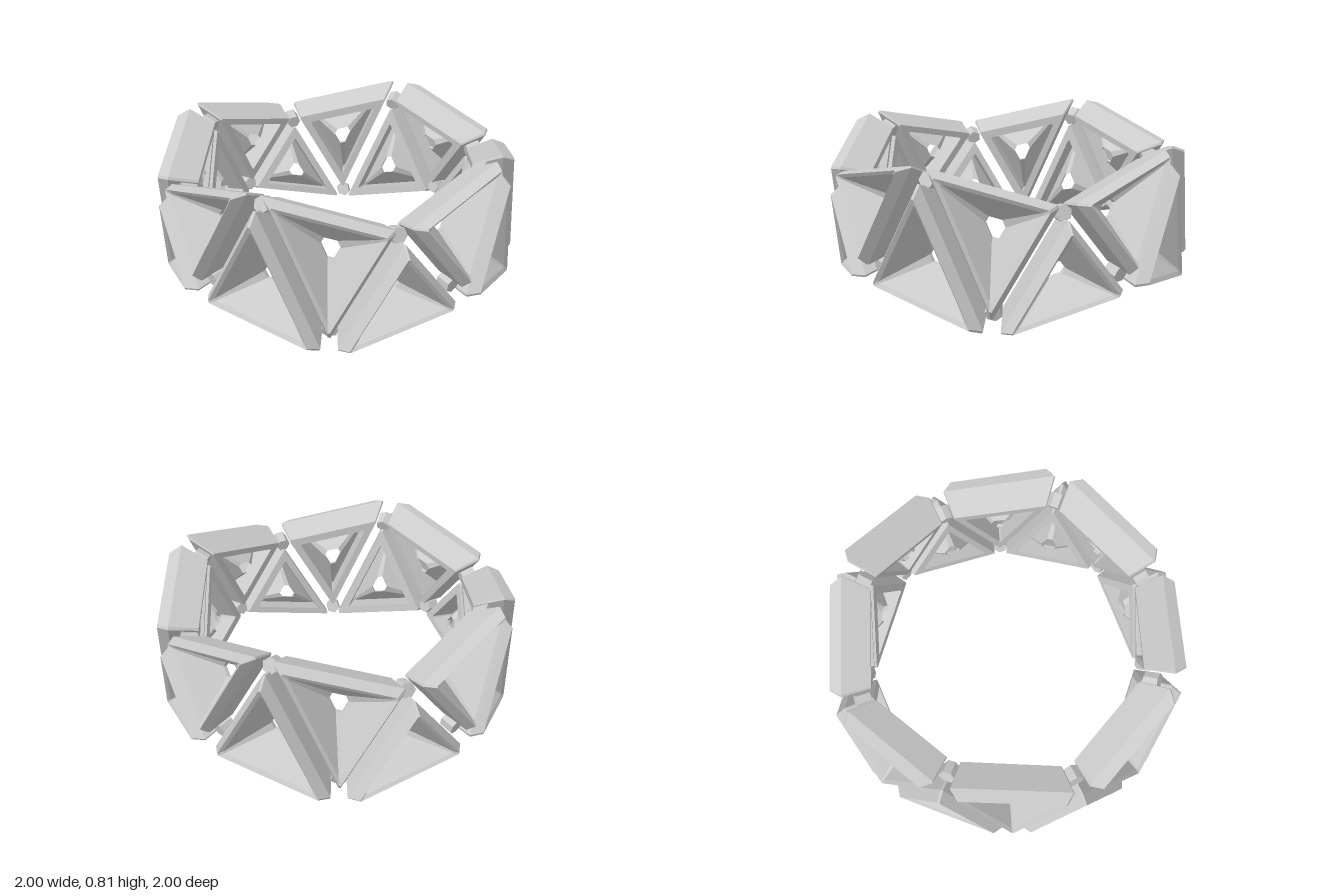
import * as THREE from 'three';

const COUNT = 8;
const MIDDLE = 0.41;            // height of the ring centre
const HIGH = 0.45, LOW = 0.255; // node heights above / below the middle of the ring
const HIGH_R = 1.0, LOW_R = 1.02;
const material = new THREE.MeshStandardMaterial({ color: 0xcccccc, flatShading: true });

// Cross-section of one panel: t = size in its plane, s = distance from the ring centre, c = corner cut
const PROFILE = [
  { t: 1.0, s: 0.775, c: 0.02 },  // outside wall
  { t: 1.0, s: 0.935, c: 0.02 },
  { t: 0.82, s: 1.0, c: 0.02 },   // chamfered rim
  { t: 0.74, s: 0.985, c: 0.02 },
  { t: 0.24, s: 0.805, c: 0.25 }, // sunken flaps around the small opening
  { t: 0.24, s: 0.785, c: 0.25 },
  { t: 0.7, s: 0.945, c: 0.02 },  // deep groove behind the flaps
  { t: 0.74, s: 0.775, c: 0.02 }, // inner face of the bars
];

function node(angleStep, y, r) {
  const a = angleStep * Math.PI * 2 / COUNT;
  return new THREE.Vector3(Math.sin(a) * r, y, Math.cos(a) * r);
}
const even = i => i % 2 === 0;
const topNode = i => even(i) ? node(i + 0.5, HIGH, HIGH_R) : node(i + 0.5, LOW, LOW_R);
const bottomNode = i => even(i) ? node(i, -LOW, LOW_R) : node(i, -HIGH, HIGH_R);

// Hollow triangular panel swept around its closed profile; corners run
// anticlockwise from outside, the first two bounding the free edge
function panelGeometry(corners) {
  // Shrink towards the free edge, leaving slits beside the neighbours
  const edgeMiddle = corners[0].clone().lerp(corners[1], 0.5);
  const inset = corners.map(p => p.clone().lerp(edgeMiddle, 0.11));
  const centre = inset.reduce((sum, p) => sum.add(p), new THREE.Vector3()).divideScalar(3);

  const positions = [], index = [];
  for (const { t, s, c } of PROFILE) {
    for (let k = 0; k < 3; k++) {
      for (const q of [inset[(k + 2) % 3], inset[(k + 1) % 3]]) {
        const v = inset[k].clone().lerp(q, c);
        v.sub(centre).multiplyScalar(t).add(centre).multiplyScalar(s);
        positions.push(v.x, v.y, v.z);
      }
    }
  }
  const n = PROFILE.length;
  for (let r = 0; r < n; r++) {
    for (let j = 0; j < 6; j++) {
      const a0 = r * 6 + j, a1 = r * 6 + (j + 1) % 6;
      const b0 = ((r + 1) % n) * 6 + j, b1 = ((r + 1) % n) * 6 + (j + 1) % 6;
      index.push(a0, a1, b1, a0, b1, b0);
    }
  }
  const geometry = new THREE.BufferGeometry();
  geometry.setAttribute('position', new THREE.Float32BufferAttribute(positions, 3));
  geometry.setIndex(index);
  const flat = geometry.toNonIndexed();
  flat.computeVertexNormals();
  return flat;
}

// Small joint holding the panel corners together on the inner side
function joint(point) {
  const mesh = new THREE.Mesh(new THREE.CylinderGeometry(0.045, 0.04, 0.08, 6), material);
  const p = point.clone();
  p.y *= 0.86;
  mesh.quaternion.setFromUnitVectors(new THREE.Vector3(0, 1, 0), p.clone().normalize());
  mesh.position.copy(p).multiplyScalar(0.82);
  return mesh;
}

export function createModel() {
  const model = new THREE.Group();
  model.name = 'triangularPanelRing';
  const ring = new THREE.Group();
  ring.name = 'ring';
  ring.position.y = MIDDLE;
  model.add(ring);
  const add = (mesh, name) => { mesh.name = name; ring.add(mesh); };

  for (let i = 0; i < COUNT; i++) {
    const down = [topNode(i), topNode(i - 1), bottomNode(i)];
    const up = [bottomNode(i), bottomNode(i + 1), topNode(i)];
    add(new THREE.Mesh(panelGeometry(down), material), 'downwardPanel' + i);
    add(new THREE.Mesh(panelGeometry(up), material), 'upwardPanel' + i);
    add(joint(topNode(i)), 'upperJoint' + i);
    add(joint(bottomNode(i)), 'lowerJoint' + i);
  }
  return model;
}
